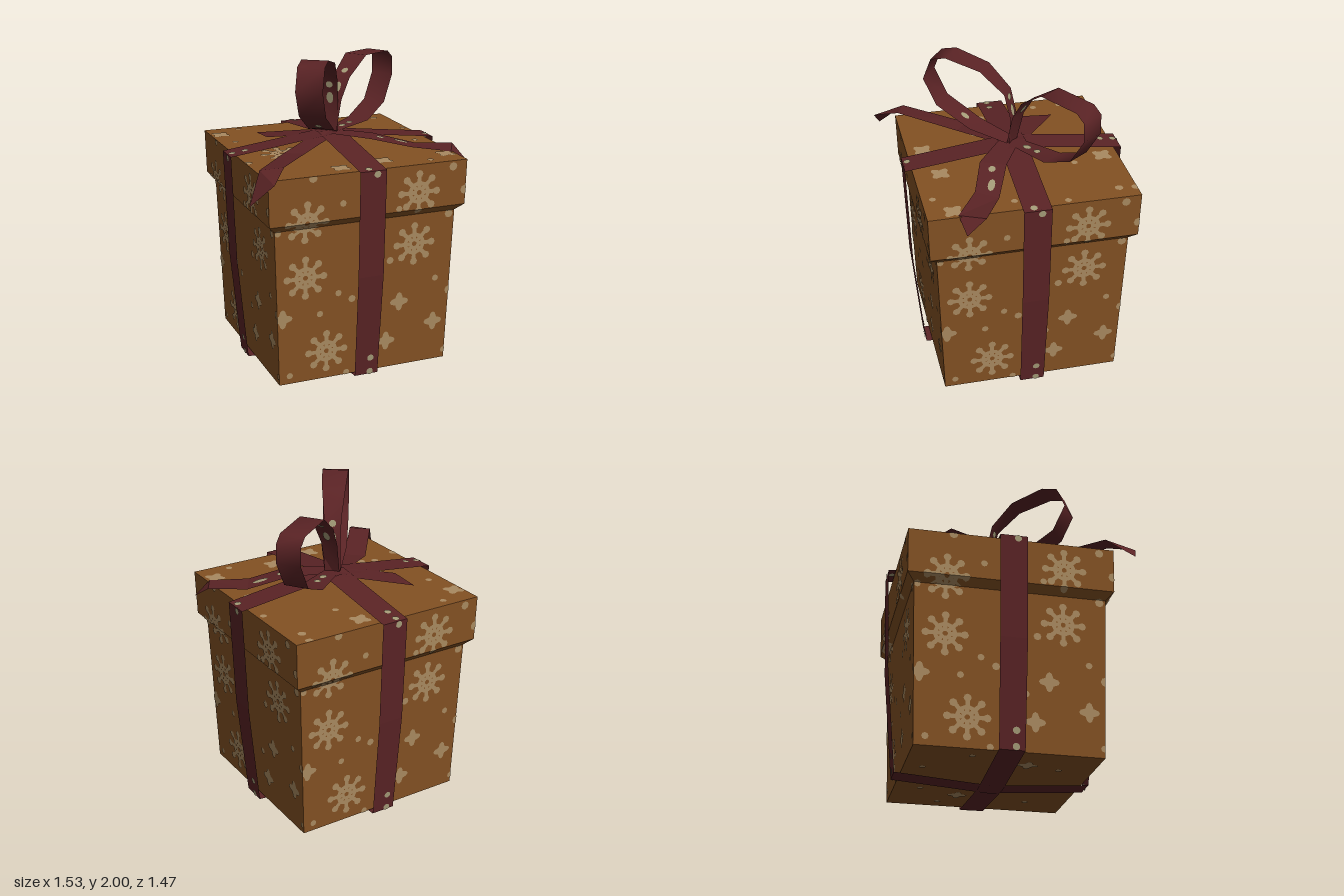
import * as THREE from 'three';
import { mergeGeometries } from 'three/addons/utils/BufferGeometryUtils.js';

const CX = 0.02, CZ = -0.05; // middle of the box

export function createModel() {
  const root = new THREE.Group();
  root.name = 'giftBox';
  const mat = (name, color, opts = {}) => {
    const m = new THREE.MeshStandardMaterial({ color, ...opts });
    m.name = name;
    return m;
  };
  const paper = mat('brown paper', 0x835123);
  const print = mat('tan print', 0xa98a60);
  const red = mat('dark red ribbon', 0x5a2325, { side: THREE.DoubleSide });
  const spotMat = mat('pale ribbon spot', 0xa59c78, { side: THREE.DoubleSide });

  const add = (parent, name, geo, material) => {
    const m = new THREE.Mesh(geo, material);
    m.name = name;
    parent.add(m);
    return m;
  };

  // ---------- box: square frustums stacked on one profile ----------
  const box = new THREE.Group();
  box.name = 'box';
  box.position.set(CX, 0, CZ);
  root.add(box);
  const bands = [ // y0, y1, half width at y0, half width at y1
    ['body', 0.05, 1.055, 0.56, 0.59],
    ['lidRim', 1.055, 1.1, 0.59, 0.635],
    ['lid', 1.1, 1.385, 0.635, 0.641],
  ];
  for (const [name, y0, y1, h0, h1] of bands) {
    const g = new THREE.CylinderGeometry(h1 * Math.SQRT2, h0 * Math.SQRT2, y1 - y0, 4)
      .rotateY(Math.PI / 4).translate(0, (y0 + y1) / 2, 0).toNonIndexed();
    g.computeVertexNormals();
    add(box, name, g, paper);
  }

  // ---------- printed motifs ----------
  const outline = (u, v, n, radius) => new THREE.Shape(Array.from({ length: n }, (_, i) => {
    const a = (i / n) * Math.PI * 2, r = radius(a);
    return new THREE.Vector2(u + Math.cos(a) * r, v + Math.sin(a) * r);
  }));
  const dot = (u, v, r = 0.021) => [outline(u, v, 8, () => r)];
  const star = (u, v) => [outline(u, v, 24, a => 0.049 + 0.014 * Math.cos(4 * a))];
  const clover = (u, v) => [outline(u, v, 24, a => 0.054 - 0.014 * Math.cos(4 * a))];
  const flake = (u, v) => {
    const shapes = [];
    for (let i = 0; i < 8; i++) {
      const a = i * Math.PI / 4, c = Math.cos(a), s = Math.sin(a);
      const at = (l, w) => new THREE.Vector2(u + c * l - s * w, v + s * l + c * w);
      shapes.push(new THREE.Shape([at(0.015, -0.013), at(0.12, -0.013), at(0.12, 0.013), at(0.015, 0.013)]));
      shapes.push(...dot(u + c * 0.117, v + s * 0.117, 0.024));
    }
    const ring = outline(u, v, 8, () => 0.076);
    ring.holes.push(outline(u, v, 8, () => 0.05));
    return [...shapes, ring];
  };

  const sideMotifs = [
    flake(0.32, 1.21), flake(-0.4, 1.1), flake(-0.395, 0.74), flake(0.32, 0.865), flake(-0.255, 0.235),
    star(0.23, 0.49), star(0.47, 0.32), star(0.145, 0.235), star(-0.54, 0.49),
    dot(-0.365, 1.375, 0.027), dot(-0.175, 1.2), dot(0.19, 1.12), dot(0.545, 1.35, 0.027),
    dot(0.63, 1.195, 0.03), dot(0.55, 1.035, 0.027), dot(-0.57, 1.045), dot(-0.18, 0.61),
    dot(0.16, 0.775, 0.024), dot(-0.3, 0.49), dot(-0.09, 0.56, 0.024), dot(0.475, 0.615),
    dot(0.575, 0.52, 0.03), dot(0.555, 0.105), dot(-0.495, 0.105), dot(-0.12, 0.065), dot(0.09, 0.405),
  ];
  // Motifs are trimmed to each band and laid on its slope
  const pieces = [];
  for (const [, y0, y1, h0, h1] of bands) {
    for (const motif of sideMotifs) {
      const g = new THREE.ShapeGeometry(motif);
      g.computeBoundingBox();
      if (g.boundingBox.max.y <= y0 || g.boundingBox.min.y >= y1) continue;
      const p = g.attributes.position;
      for (let i = 0; i < p.count; i++) {
        const y = THREE.MathUtils.clamp(p.getY(i), y0, y1);
        const half = h0 + (h1 - h0) * (y - y0) / (y1 - y0);
        p.setXYZ(i, THREE.MathUtils.clamp(p.getX(i), -half, half), y, half + 0.004);
      }
      g.computeVertexNormals();
      pieces.push(g);
    }
  }
  const sidePrint = mergeGeometries(pieces);
  for (let k = 0; k < 4; k++) add(box, 'sidePrint', sidePrint, print).rotation.y = k * Math.PI / 2;

  // Top and bottom prints, in box x and -z
  const flatPrint = (motifs, half) => {
    const g = new THREE.ShapeGeometry(motifs.flat());
    const p = g.attributes.position;
    const fit = t => THREE.MathUtils.clamp(t, -half, half);
    for (let i = 0; i < p.count; i++) p.setXY(i, fit(p.getX(i)), fit(p.getY(i)));
    return g;
  };
  const topPrint = flatPrint([
    clover(-0.58, 0.48), clover(0.15, 0.54), clover(-0.15, -0.54), clover(0.15, -0.48), clover(0.575, -0.48),
    flake(-0.36, -0.1), dot(-0.425, 0.58), dot(-0.545, 0.27), dot(0.2, 0.35), dot(0.54, 0.53, 0.026),
    dot(0.55, 0.63, 0.026), dot(0.545, -0.11), dot(0.425, -0.575), dot(0.605, 0.2), dot(-0.63, -0.24, 0.03),
  ], 0.64).rotateX(-Math.PI / 2);
  add(box, 'topPrint', topPrint, print).position.y = 1.388;
  const basePrint = flatPrint([
    dot(-0.3, 0.35), dot(0.35, 0.3), dot(-0.45, -0.2), dot(0.2, -0.4), dot(0.45, -0.25), dot(-0.2, -0.45),
    star(-0.35, 0.15), star(0.3, -0.15),
  ], 0.55).rotateX(Math.PI / 2);
  add(box, 'basePrint', basePrint, print).position.y = 0.047;

  // ---------- ribbon helpers: rows are [left, right] point pairs ----------
  const ribbonGeo = (rows, smooth) => {
    const idx = [];
    for (let i = 0; i < rows.length - 1; i++) {
      const a = i * 2;
      idx.push(a, a + 1, a + 2, a + 1, a + 3, a + 2);
    }
    let g = new THREE.BufferGeometry();
    g.setAttribute('position', new THREE.Float32BufferAttribute(rows.flat(2), 3));
    g.setIndex(idx);
    if (!smooth) g = g.toNonIndexed();
    g.computeVertexNormals();
    return g;
  };
  // Oval spot on both faces of segment i, at t along and w across (0..1)
  const spot = (parent, rows, i, t, w, long = 0.022, wide = 0.022) => {
    const [a, b] = rows[i].map(p => new THREE.Vector3(...p));
    const [c, d] = rows[i + 1].map(p => new THREE.Vector3(...p));
    const at = (s, q) => a.clone().lerp(b, q).lerp(c.clone().lerp(d, q), s);
    const o = at(t, w);
    const along = at(1, w).sub(at(0, w)).normalize();
    const across = at(t, 1).sub(at(t, 0)).normalize();
    const n = new THREE.Vector3().crossVectors(along, across).normalize();
    across.crossVectors(n, along);
    for (const side of [-1, 1]) {
      const g = new THREE.CircleGeometry(1, 10).scale(long, wide, 1);
      g.applyMatrix4(new THREE.Matrix4().makeBasis(along, across, n));
      g.translate(...o.clone().addScaledVector(n, side * 0.005).toArray());
      add(parent, 'ribbonSpot', g, spotMat);
    }
  };

  // ---------- ribbon wrapped around the box: four equal arms ----------
  const wrap = [[0, 1.475, 0.085], [0.685, 1.39, 0.085], [0.662, 0.72, 0.083], [0.6, 0.045, 0.077], [0, 0, 0.077]]
    .map(([r, y, w]) => [[-w, y, r], [w, y, r]]);
  const wrapGeo = ribbonGeo(wrap, false);
  for (let k = 0; k < 4; k++) {
    const arm = new THREE.Group();
    arm.name = 'wrapRibbon';
    arm.rotation.y = k * Math.PI / 2;
    box.add(arm);
    add(arm, 'wrapStrip', wrapGeo, red);
    spot(arm, wrap, 0, 0.96, k < 2 ? 0.38 : 0.62);
    if (k > 1) spot(arm, wrap, 0, 0.84, 0.62);
    spot(arm, wrap, 1, 0.03, 0.64);
    spot(arm, wrap, 2, 0.83, 0.64);
    spot(arm, wrap, 2, 0.97, 0.64);
  }

  // ---------- bow ----------
  const bow = new THREE.Group();
  bow.name = 'bow';
  root.add(bow);
  // Loop path is [distance from knot, height], swept along a horizontal direction
  const loopRows = (dx, dz, half, path) => path.map(([s, y]) => {
    const w = half * THREE.MathUtils.clamp(0.6 + s * 1.5, 0.6, 1);
    const x = CX + dx * s, z = CZ + dz * s;
    return [[x + dz * w, y, z - dx * w], [x - dz * w, y, z + dx * w]];
  });
  const backLoop = loopRows(0.825, -0.566, 0.078, [[0, 1.475], [0.33, 1.485], [0.53, 1.57], [0.63, 1.74],
    [0.625, 1.86], [0.57, 1.905], [0.3, 1.918], [0.13, 1.8], [0.05, 1.67], [0, 1.475]]);
  const frontLoop = loopRows(-0.571, 0.821, 0.083, [[0, 1.475], [0.25, 1.545], [0.47, 1.67], [0.555, 1.835],
    [0.5, 1.975], [0.4, 2.0], [0.18, 1.945], [0.03, 1.81], [-0.01, 1.65], [0, 1.475]]);
  add(bow, 'backLoop', ribbonGeo(backLoop, true), red);
  add(bow, 'frontLoop', ribbonGeo(frontLoop, true), red);
  spot(bow, backLoop, 0, 0.4, 0.55, 0.03);
  spot(bow, backLoop, 0, 0.65, 0.55);
  spot(bow, backLoop, 6, 0.75, 0.5);
  spot(bow, backLoop, 7, 0.5, 0.5, 0.04);
  spot(bow, frontLoop, 1, 0.3, 0.5, 0.03);
  spot(bow, frontLoop, 7, 0.2, 0.5);
  spot(bow, frontLoop, 7, 0.75, 0.5, 0.04);

  // Loose tails
  const tails = {
    frontRightTail: [[[-0.765, 1.275, 0.68], [-0.63, 1.4, 0.73]], [[-0.65, 1.44, 0.53], [-0.52, 1.457, 0.585]],
      [[-0.37, 1.42, 0.165], [-0.26, 1.427, 0.245]], [[-0.05, 1.468, -0.08], [0.05, 1.468, 0]]],
    frontLeftTail: [[[0.765, 1.32, 0.38], [0.764, 1.32, 0.381]], [[0.73, 1.4, 0.26], [0.645, 1.388, 0.408]],
      [[0.52, 1.393, 0.14], [0.44, 1.402, 0.27]], [[0.27, 1.458, 0.04], [0.2, 1.458, 0.19]],
      [[0.06, 1.474, -0.08], [0, 1.474, 0.03]]],
    backRightTail: [[[-0.355, 1.415, -0.4], [-0.35, 1.43, -0.2]], [[-0.07, 1.455, -0.2], [-0.2, 1.45, -0.1]],
      [[0.04, 1.472, -0.1], [0, 1.472, 0]]],
  };
  for (const [name, rows] of Object.entries(tails)) add(bow, name, ribbonGeo(rows, false), red);
  spot(bow, tails.frontLeftTail, 2, 0.3, 0.4, 0.05, 0.022);
  spot(bow, tails.frontLeftTail, 2, 0.8, 0.5, 0.026, 0.022);

  return root;
}
